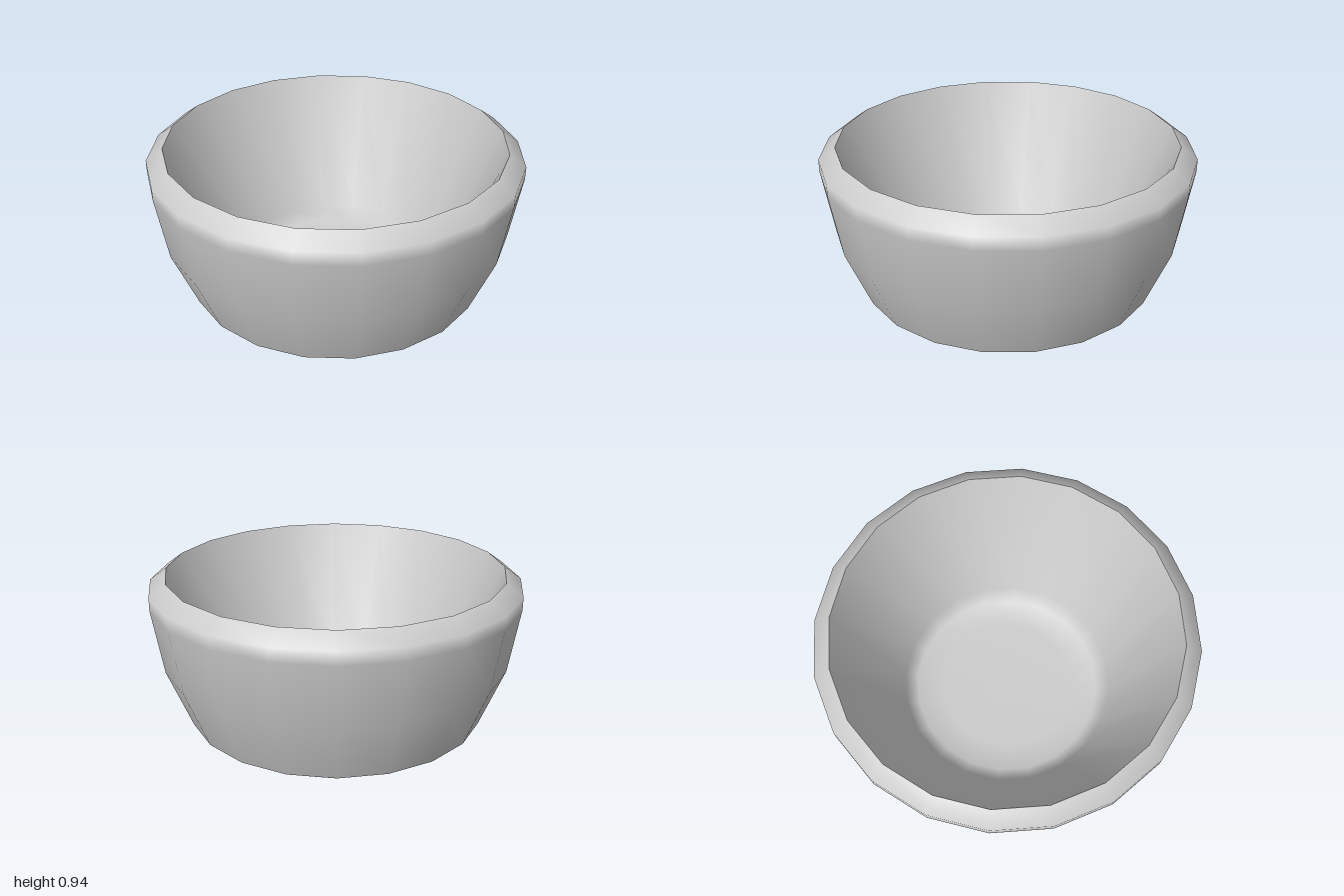
import * as THREE from 'three';

const SIDES = 20;

// Revolves a profile of [radius, height] points into a smooth-shaded shell.
function lathe(name, profile, material) {
  const points = profile.map(([r, y]) => new THREE.Vector2(r, y));
  const mesh = new THREE.Mesh(new THREE.LatheGeometry(points, SIDES), material);
  mesh.name = name;
  return mesh;
}

export function createModel() {
  const group = new THREE.Group();
  group.name = 'bowl';
  const material = new THREE.MeshStandardMaterial({ color: 0xcccccc, side: THREE.DoubleSide });

  // Separate shells keep the edges between them sharp.
  group.add(
    // Flat underside and the slanted foot
    lathe('base', [[0, 0], [0.62, 0], [0.815, 0.12]], material),
    // Flared outer wall rounding over into the sloped rim
    lathe('outerWall', [[0.815, 0.12], [0.945, 0.45], [1, 0.8], [1, 0.87], [0.91, 0.935]], material),
    // Conical hollow, softened where it meets the small flat floor
    lathe('interior', [[0.91, 0.935], [0.6, 0.17], [0.53, 0.12], [0.38, 0.1], [0, 0.1]], material),
  );
  return group;
}
